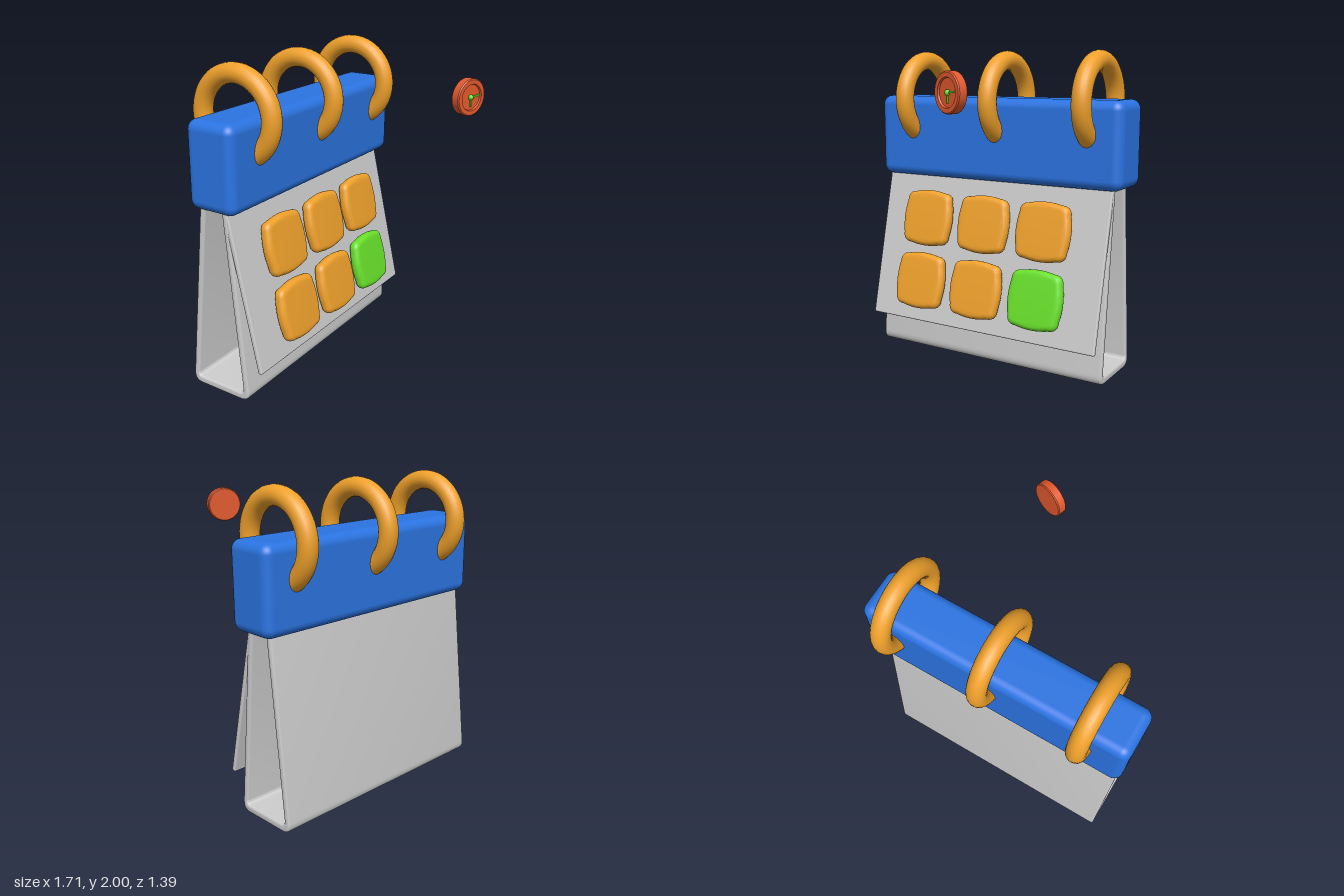
import * as THREE from 'three';
import { toCreasedNormals } from 'three/addons/utils/BufferGeometryUtils.js';
import { RoundedBoxGeometry } from 'three/addons/geometries/RoundedBoxGeometry.js';

const paint = (color) => new THREE.MeshStandardMaterial({ color });
const grey = paint(0xcccccc);
const blue = paint(0x2b74e2);
const gold = paint(0xeea02b);
const green = paint(0x68e02a);
const red = paint(0xe2592d);

function add(parent, name, geometry, material, x = 0, y = 0, z = 0) {
  const mesh = new THREE.Mesh(geometry, material);
  mesh.name = name;
  mesh.position.set(x, y, z);
  parent.add(mesh);
  return mesh;
}

// Closed outline with every corner rounded by radius r
function roundedOutline(corners, r, Type = THREE.Shape) {
  const path = new Type();
  const pts = corners.map(([x, y]) => new THREE.Vector2(x, y));
  pts.forEach((p, i) => {
    const before = pts[(i + pts.length - 1) % pts.length];
    const after = pts[(i + 1) % pts.length];
    const a = before.clone().sub(p).setLength(r).add(p);
    const b = after.clone().sub(p).setLength(r).add(p);
    if (i === 0) path.moveTo(a.x, a.y);
    else path.lineTo(a.x, a.y);
    path.quadraticCurveTo(p.x, p.y, b.x, b.y);
  });
  path.closePath();
  return path;
}

// Hollow wedge-shaped stand, open at both ends
function standGeometry() {
  const length = 1.66, bevel = 0.014;
  const shape = roundedOutline([[-0.222, 0], [0.222, 0], [0.085, 1.34], [-0.085, 1.34]], 0.07);
  shape.holes.push(roundedOutline(
    [[-0.178, 0.05], [-0.05, 1.3], [0.05, 1.3], [0.178, 0.05]], 0.03, THREE.Path));
  const geo = new THREE.ExtrudeGeometry(shape, {
    depth: length - 2 * bevel, bevelEnabled: true, bevelSize: bevel, bevelThickness: bevel,
    bevelOffset: -bevel, bevelSegments: 4, curveSegments: 10,
  });
  geo.translate(0, 0, -length / 2 + bevel);
  geo.rotateY(-Math.PI / 2);
  return toCreasedNormals(geo, 0.6);
}

// Pillow-like square with slightly bowed sides
function dayGeometry() {
  const half = 0.168, corner = 0.11, bow = 0.184, bevel = 0.034, depth = 0.075;
  const shape = new THREE.Shape();
  shape.moveTo(corner, -half);
  for (let i = 0; i < 4; i++) {
    const a = i * Math.PI / 2, c = Math.cos(a), s = Math.sin(a);
    const p = (x, y) => [x * c - y * s, x * s + y * c];
    shape.quadraticCurveTo(...p(half, -half), ...p(half, -corner));
    shape.quadraticCurveTo(...p(bow + 0.01, 0), ...p(half, corner));
  }
  const geo = new THREE.ExtrudeGeometry(shape, {
    depth: depth - 2 * bevel, bevelEnabled: true, bevelSize: bevel, bevelThickness: bevel,
    bevelOffset: -bevel + 0.004, bevelSegments: 6, curveSegments: 8,
  });
  geo.translate(0, 0, -depth / 2 + bevel);
  return toCreasedNormals(geo, 0.7);
}

function createCalendar() {
  const calendar = new THREE.Group();
  calendar.name = 'calendar';
  add(calendar, 'stand', standGeometry(), grey);
  add(calendar, 'headerBar', new RoundedBoxGeometry(1.754, 0.53, 0.332, 6, 0.06), blue, 0.02, 1.445, 0);

  // Binding rings through the header
  const ring = new THREE.TorusGeometry(0.25, 0.06, 20, 56).rotateY(Math.PI / 2);
  for (const i of [-1, 0, 1]) add(calendar, 'bindingRing', ring, gold, 0.045 + 0.632 * i, 1.69, -0.005);

  // Tilted front page with its day tiles
  const page = new THREE.Group();
  page.name = 'frontPage';
  page.position.set(0, 0.23, 0.325);
  page.rotation.x = -0.23;
  calendar.add(page);
  add(page, 'pageSheet', new RoundedBoxGeometry(1.655, 1.09, 0.03, 3, 0.01), grey, 0, 0.545, -0.015);
  const day = dayGeometry();
  for (const [row, y] of [0.689, 0.272].entries()) {
    for (const col of [-1, 0, 1]) {
      const marked = row === 1 && col === 1;
      add(page, marked ? 'markedDay' : 'dayTile', day, marked ? green : gold, col * 0.43 - 0.004, y, 0.045);
    }
  }
  return calendar;
}

function createClock() {
  const clock = new THREE.Group();
  clock.name = 'clock';
  // Case with raised rim and recessed dial
  const profile = [[0, -0.029], [0.104, -0.029], [0.11, -0.023], [0.11, 0.023], [0.104, 0.029],
    [0.079, 0.029], [0.075, 0.018], [0, 0.018]].map(([r, h]) => new THREE.Vector2(r, h));
  const body = toCreasedNormals(new THREE.LatheGeometry(profile, 48).rotateX(Math.PI / 2), 0.5);
  add(clock, 'clockCase', body, red);
  // Hub and two hands
  add(clock, 'handHub', new THREE.SphereGeometry(0.017, 16, 12), green, 0, 0, 0.02);
  for (const [name, length, angle] of [['longHand', 0.07, 0.1], ['shortHand', 0.055, -Math.PI / 2]]) {
    const hand = new THREE.BoxGeometry(length, 0.009, 0.008).translate(length / 2, 0, 0);
    add(clock, name, hand, green, 0, 0, 0.022).rotation.z = angle;
  }
  return clock;
}

export function createModel() {
  const model = new THREE.Group();
  model.name = 'deskCalendar';
  const calendar = createCalendar();
  calendar.position.set(-0.02, 0, -0.09);
  calendar.rotation.y = THREE.MathUtils.degToRad(28);
  const clock = createClock();
  clock.position.set(0.722, 1.768, 0.658);
  clock.rotation.y = THREE.MathUtils.degToRad(8);
  model.add(calendar, clock);
  return model;
}
